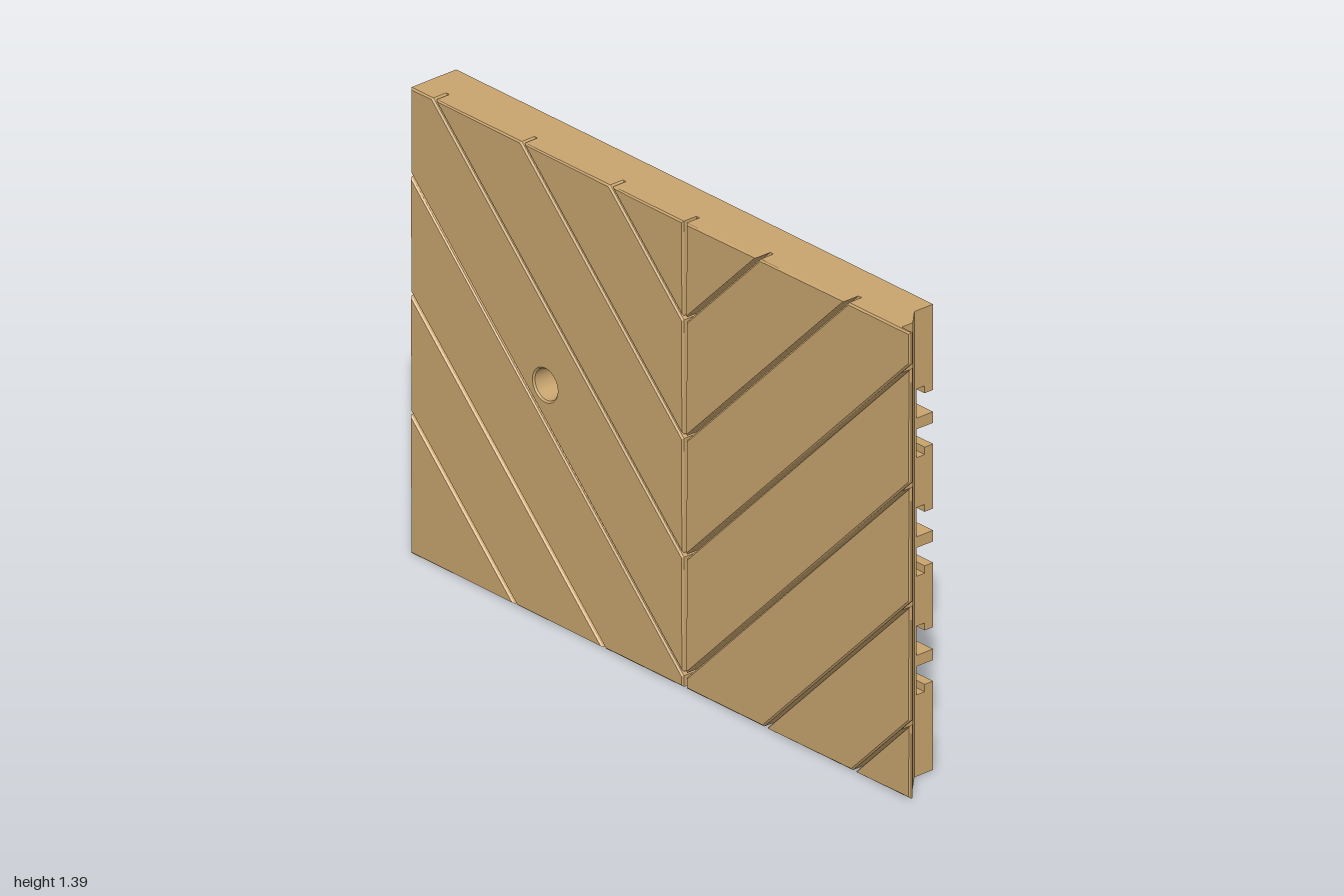
import * as THREE from 'three';

const H = 1.39, BACK = -0.085, SEAM = 0.097, EDGE = 0.91, TONGUE = 0.957;
const HOLE = [-0.46, 0.7];

// Closed shape from [x, y] points
const poly = (pts, Type = THREE.Shape) => new Type(pts.map(([x, y]) => new THREE.Vector2(x, y)));
const rect = (x0, x1, y0, y1) => [[x0, y0], [x1, y0], [x1, y1], [x0, y1]];
const hole = (pts) => poly(pts, THREE.Path);
const disc = (r) => new THREE.Path().absarc(HOLE[0], HOLE[1], r, 0, Math.PI * 2, true);

function slab(shape, z0, z1) {
  const g = new THREE.ExtrudeGeometry(shape, { depth: z1 - z0, bevelEnabled: false, curveSegments: 24 });
  return g.translate(0, 0, z0);
}

// Keep the part of a convex polygon where f(x, y) >= 0
function clip(pts, f) {
  const out = [];
  pts.forEach((p, i) => {
    const q = pts[(i + 1) % pts.length], a = f(...p), b = f(...q);
    if (a >= 0) out.push(p);
    if ((a > 0 && b < 0) || (a < 0 && b > 0)) {
      const t = a / (a - b);
      out.push([p[0] + (q[0] - p[0]) * t, p[1] + (q[1] - p[1]) * t]);
    }
  });
  return out;
}

// Octagon of the big rear recess, shrunk by d
function octagon(d) {
  const x0 = -0.24 + d, x1 = 0.515 - d, y0 = 0.045 + d, y1 = 1.345 - d, c = 0.205 - d * 0.586;
  return [[x0 + c, y0], [x1 - c, y0], [x1, y0 + c], [x1, y1 - c],
    [x1 - c, y1], [x0 + c, y1], [x0, y1 - c], [x0, y0 + c]];
}

// Slab outline with three slots open at the hinge edge; n narrows the slots
function notched(n) {
  const pts = [[-1, 0], [EDGE, 0]], xe = 0.683;
  for (let i = 0; i < 3; i++) {
    const b = 0.243 + i * 0.354 + n, t = 0.448 + i * 0.354 - n;
    pts.push([EDGE, b], [xe + 0.02, b], [xe, b + 0.02], [xe, t - 0.04], [xe + 0.04, t], [EDGE, t]);
  }
  pts.push([EDGE, H], [-1, H]);
  return pts;
}

export function createModel() {
  const group = new THREE.Group();
  const wood = new THREE.MeshStandardMaterial({ color: 0xc8a46e, side: THREE.DoubleSide });
  wood.name = 'tan wood';
  const add = (name, geometry) => {
    const m = new THREE.Mesh(geometry, wood);
    m.name = name;
    group.add(m);
    return m;
  };

  // Rear layers with the small mounting pockets and hinge slots
  const pockets = [
    rect(-0.73, -0.665, 0.965, 1.107), rect(-0.73, -0.665, 0.255, 0.4),
    rect(-0.637, -0.585, 0.59, 0.655), rect(-0.637, -0.585, 0.675, 0.786),
    rect(-0.717, -0.683, 0.859, 0.868), rect(-0.717, -0.683, 0.15, 0.159),
  ];
  [[BACK, -0.055, 0.022], [-0.055, -0.025, 0]].forEach(([z0, z1, n], i) => {
    const s = poly(notched(n));
    s.holes.push(hole(octagon(0)), disc(i ? 0.046 : 0.073), ...pockets.map(hole));
    add('rearLayer', slab(s, z0, z1));
  });

  // Middle layer around the recess, then the solid layer behind the planks
  const middle = poly(rect(-1, EDGE, 0, H));
  middle.holes.push(hole(octagon(0)), disc(0.046));
  add('middleLayer', slab(middle, -0.025, 0.015));
  const web = poly(rect(-1, EDGE, 0, H));
  web.holes.push(disc(0.046));
  add('frontLayer', slab(web, 0.015, 0.03));

  // Sloping walls of the recess
  const outer = octagon(0), inner = octagon(0.1), wall = [];
  outer.forEach((a, i) => {
    const j = (i + 1) % 8, b = outer[j], c = inner[j], d = inner[i];
    const [A, B, C, D] = [[...a, BACK], [...b, BACK], [...c, 0.015], [...d, 0.015]];
    wall.push(...A, ...B, ...C, ...A, ...C, ...D);
  });
  const recess = new THREE.BufferGeometry();
  recess.setAttribute('position', new THREE.Float32BufferAttribute(wall, 3));
  recess.computeVertexNormals();
  add('recessWalls', recess);

  // Ribs in the hinge slots
  for (let i = 0; i < 3; i++) {
    const y = 0.328 + i * 0.354;
    add('slotRib', slab(poly(rect(0.683, EDGE, y, y + 0.033)), BACK, -0.025));
  }

  // Bevelled hinge edge, extruded along y
  const edge = slab(poly([[EDGE, 0.018], [TONGUE, -0.03], [EDGE, -0.03]]), 0, H);
  add('hingeEdge', edge.rotateX(-Math.PI / 2));

  // Chevron planks, separated by narrow grooves
  const gap = 0.0064;
  const cuts = [-3, -0.58, -0.225, 0.13, 0.484, 0.838, 1.192, 4];
  for (const right of [false, true]) {
    const panel = right ? rect(SEAM + gap, 1, 0, H) : rect(-1, SEAM - gap, 0, H);
    const c = (x, y) => (right ? 2 * SEAM - x : x) + y;
    for (let i = 0; i < cuts.length - 1; i++) {
      let pts = clip(panel, (x, y) => c(x, y) - cuts[i] - gap);
      pts = clip(pts, (x, y) => cuts[i + 1] - gap - c(x, y));
      if (pts.length < 3) continue;
      const bored = !right && i === 3;

      // Plank core stops short of the overhanging lip
      const corePts = clip(pts, (x) => TONGUE - x);
      if (corePts.length > 2) {
        const core = poly(corePts);
        if (bored) core.holes.push(disc(0.046));
        add('plankCore', slab(core, 0.03, 0.07));
      }

      // Plank face with chamfered front edges and a flat back
      const face = poly(pts);
      if (bored) face.holes.push(disc(0.046));
      const g = new THREE.ExtrudeGeometry(face, {
        depth: 0.005, bevelThickness: 0.005, bevelSize: 0.005, bevelOffset: -0.005,
        bevelSegments: 1, curveSegments: 24,
      });
      const p = g.attributes.position;
      for (let k = 0; k < p.count; k++) p.setZ(k, Math.max(0, p.getZ(k)));
      g.computeVertexNormals();
      add('plankFace', g.translate(0, 0, 0.07));
    }
  }
  return group;
}
